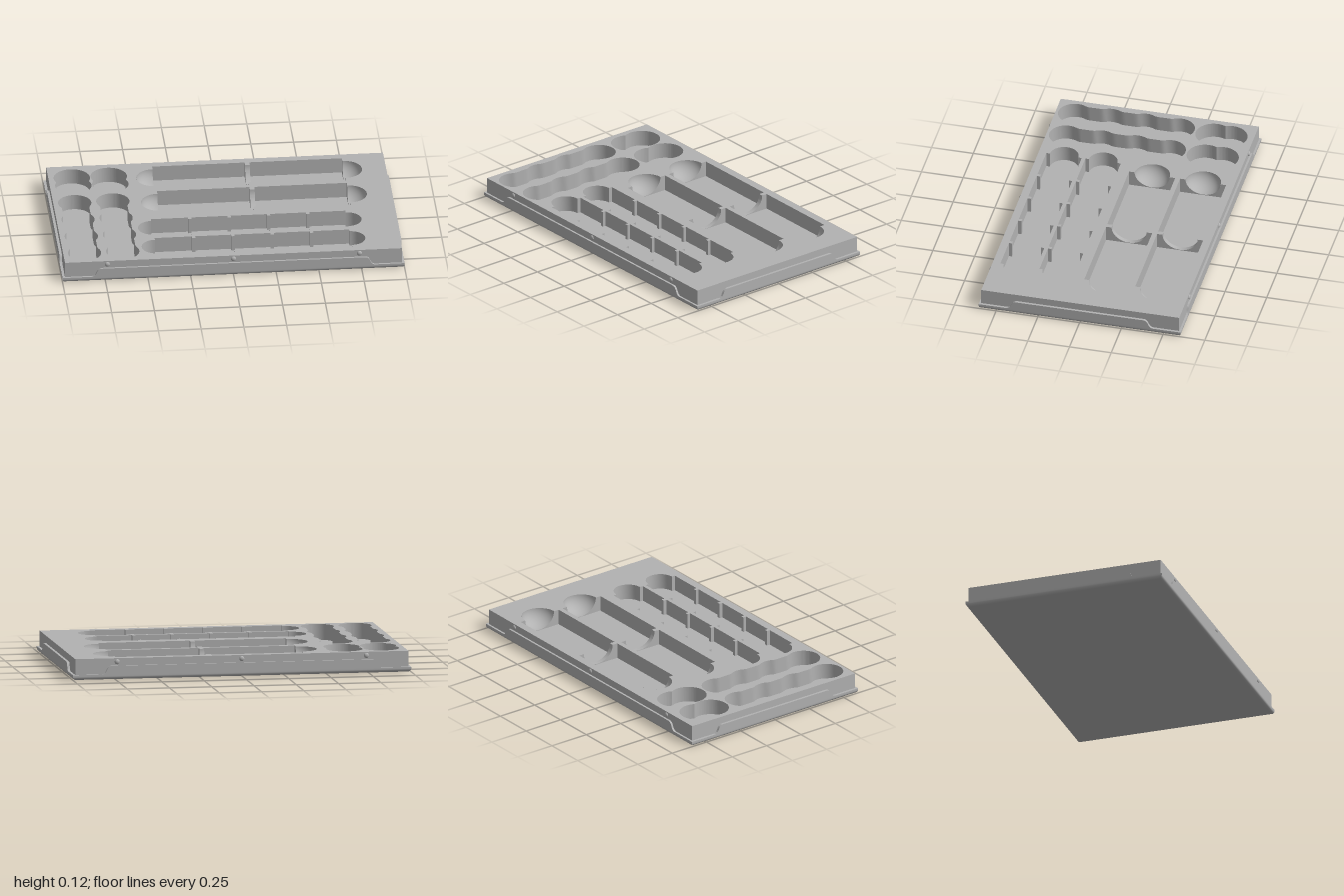
import * as THREE from 'three';
import { toCreasedNormals } from 'three/addons/utils/BufferGeometryUtils.js';

const FLOOR = 0.03, TOP = 0.123, DEPTH = TOP - FLOOR;
const BODY_X = 0.985, BODY_Z = 0.593, BASE_X = 1, BASE_Z = 0.605;
const SCOOP_R = 0.105, SCOOP_DEPTH = DEPTH * 0.97;

const grey = new THREE.MeshStandardMaterial({ color: 0xb2b2b2, side: THREE.DoubleSide });
grey.name = 'grey plastic';

function add(group, name, geometry, x = 0, y = 0, z = 0) {
  const mesh = new THREE.Mesh(geometry, grey);
  mesh.name = name;
  mesh.position.set(x, y, z);
  group.add(mesh);
  return mesh;
}

const extrude = (shape, depth) => toCreasedNormals(
  new THREE.ExtrudeGeometry(shape, { depth, bevelEnabled: false, curveSegments: 16 }), 0.6);

const pathOf = (points) => new THREE.Path(points.map(([x, z]) => new THREE.Vector2(x, -z)));

// Long pocket: straight sides with optional ribs, round ends of radius r
function longPocket(x0, x1, zc, half, r, ribs = []) {
  const pts = [[x0, zc - half]];
  for (const x of ribs) {
    pts.push([x - 0.01, zc - half], [x - 0.01, zc - half + 0.02], [x + 0.01, zc - half + 0.02], [x + 0.01, zc - half]);
  }
  pts.push([x1, zc - half]);
  for (let i = 0; i <= 24; i++) {
    const a = -Math.PI / 2 + Math.PI * i / 24;
    pts.push([x1 + r * Math.cos(a), zc + r * Math.sin(a)]);
  }
  pts.push([x1, zc + half]);
  for (const x of [...ribs].reverse()) {
    pts.push([x + 0.01, zc + half], [x + 0.01, zc + half - 0.02], [x - 0.01, zc + half - 0.02], [x - 0.01, zc + half]);
  }
  pts.push([x0, zc + half]);
  for (let i = 0; i <= 24; i++) {
    const a = Math.PI / 2 + Math.PI * i / 24;
    pts.push([x0 + r * Math.cos(a), zc + r * Math.sin(a)]);
  }
  return pathOf(pts);
}

// Scalloped pocket: a row of overlapping circles along z, never narrower than the waist
function lobedPocket(xc, centres, r, waist) {
  const first = centres[0], last = centres[centres.length - 1];
  const mid = (first + last) / 2, len = (last - first) / 2 + r, n = 72;
  const left = [], right = [];
  for (let i = 0; i <= n; i++) {
    const z = mid - len * Math.cos(Math.PI * i / n);
    let w = z > first && z < last ? waist : 0;
    for (const c of centres) w = Math.max(w, Math.sqrt(Math.max(0, r * r - (z - c) ** 2)));
    right.push([xc + w, z]);
    if (i > 0 && i < n) left.unshift([xc - w, z]);
  }
  return pathOf([...right, ...left]);
}

// Wall across a pocket with a half-round notch, running along z
function notchedWall(halfWidth, thickness) {
  const s = new THREE.Shape();
  s.moveTo(-halfWidth, 0);
  s.lineTo(halfWidth, 0);
  s.lineTo(halfWidth, DEPTH);
  s.lineTo(SCOOP_R, DEPTH);
  s.absellipse(0, DEPTH, SCOOP_R, SCOOP_DEPTH, 0, -Math.PI, true);
  s.lineTo(-halfWidth, DEPTH);
  return extrude(s, thickness).translate(0, 0, -thickness / 2).rotateY(Math.PI / 2);
}

// Base plate with its lower edges rounded
function baseGeometry() {
  const r = 0.02, n = 8;
  const geo = new THREE.BoxGeometry(2 * BASE_X, 1, 2 * BASE_Z, 1, n, 1);
  const p = geo.attributes.position;
  for (let i = 0; i < p.count; i++) {
    const k = Math.round((p.getY(i) + 0.5) * n);
    const a = Math.min(1, k / (n - 1)) * Math.PI / 2;
    const inset = r * (1 - Math.sin(a));
    p.setXYZ(i,
      Math.sign(p.getX(i)) * (BASE_X - inset),
      k === n ? FLOOR : r * (1 - Math.cos(a)),
      Math.sign(p.getZ(i)) * (BASE_Z - inset));
  }
  geo.computeVertexNormals();
  return geo;
}

// Raised rim panel with S-curved ends
function rimGeometry(half, thickness) {
  const h = 0.05, s = new THREE.Shape();
  s.moveTo(-half - 0.03, 0);
  s.lineTo(half + 0.03, 0);
  s.bezierCurveTo(half - 0.005, 0, half + 0.005, h, half - 0.03, h);
  s.lineTo(-half + 0.03, h);
  s.bezierCurveTo(-half - 0.005, h, -half + 0.005, 0, -half - 0.03, 0);
  return extrude(s, thickness);
}

export function createModel() {
  const tray = new THREE.Group();
  tray.name = 'storageTray';
  add(tray, 'basePlate', baseGeometry());

  // Main block with pockets cut through to the base plate
  const block = new THREE.Shape();
  block.moveTo(-BODY_X, -BODY_Z);
  block.lineTo(BODY_X, -BODY_Z);
  block.lineTo(BODY_X, BODY_Z);
  block.lineTo(-BODY_X, BODY_Z);
  block.closePath();
  const wideRows = [-0.408, -0.103], x0 = -0.37, x1 = 0.74;
  for (const z of wideRows) block.holes.push(longPocket(x0, x1, z, 0.138, SCOOP_R));
  for (const z of [0.207, 0.441]) {
    block.holes.push(longPocket(-0.437, 0.7, z, 0.106, 0.085, [-0.21, 0.02, 0.25, 0.48]));
  }
  for (const x of [-0.848, -0.632]) block.holes.push(lobedPocket(x, [-0.45, -0.355], 0.106, 0.09));
  for (const x of [-0.86, -0.637]) {
    block.holes.push(lobedPocket(x, [-0.141, 0.066, 0.273, 0.48], 0.097, 0.08));
  }
  add(tray, 'pocketBlock', extrude(block, DEPTH).rotateX(-Math.PI / 2), 0, FLOOR, 0);

  // Dividers and finger scoops of the wide pockets
  for (const z of wideRows) {
    add(tray, 'pocketDivider', notchedWall(0.138, 0.028), 0.185, FLOOR, z);
    for (const side of [-1, 1]) {
      const x = side < 0 ? x0 : x1;
      add(tray, 'scoopWall', notchedWall(SCOOP_R + 0.0005, 0.003), x + side * 0.0015, FLOOR, z);
      const bowl = new THREE.SphereGeometry(1, 28, 14, side < 0 ? -Math.PI / 2 : Math.PI / 2, Math.PI, Math.PI / 2, Math.PI / 2);
      bowl.scale(SCOOP_R, SCOOP_DEPTH, SCOOP_R);
      add(tray, 'fingerScoop', bowl, x, TOP, z);
    }
  }

  // Raised rims and snap bumps on each side
  for (const side of [-1, 1]) {
    const turn = side > 0 ? 0 : Math.PI;
    add(tray, 'longRim', rimGeometry(0.8, BASE_Z - BODY_Z), 0, FLOOR, side * BODY_Z).rotation.y = turn;
    add(tray, 'shortRim', rimGeometry(0.41, BASE_X - BODY_X), side * BODY_X, FLOOR, 0).rotation.y = side * Math.PI / 2;
    for (const x of [-0.737, 0, 0.737]) {
      add(tray, 'snapBump', new THREE.SphereGeometry(0.015, 16, 12).scale(1, 1, 0.6), x, 0.102, side * BODY_Z);
    }
  }
  return tray;
}
